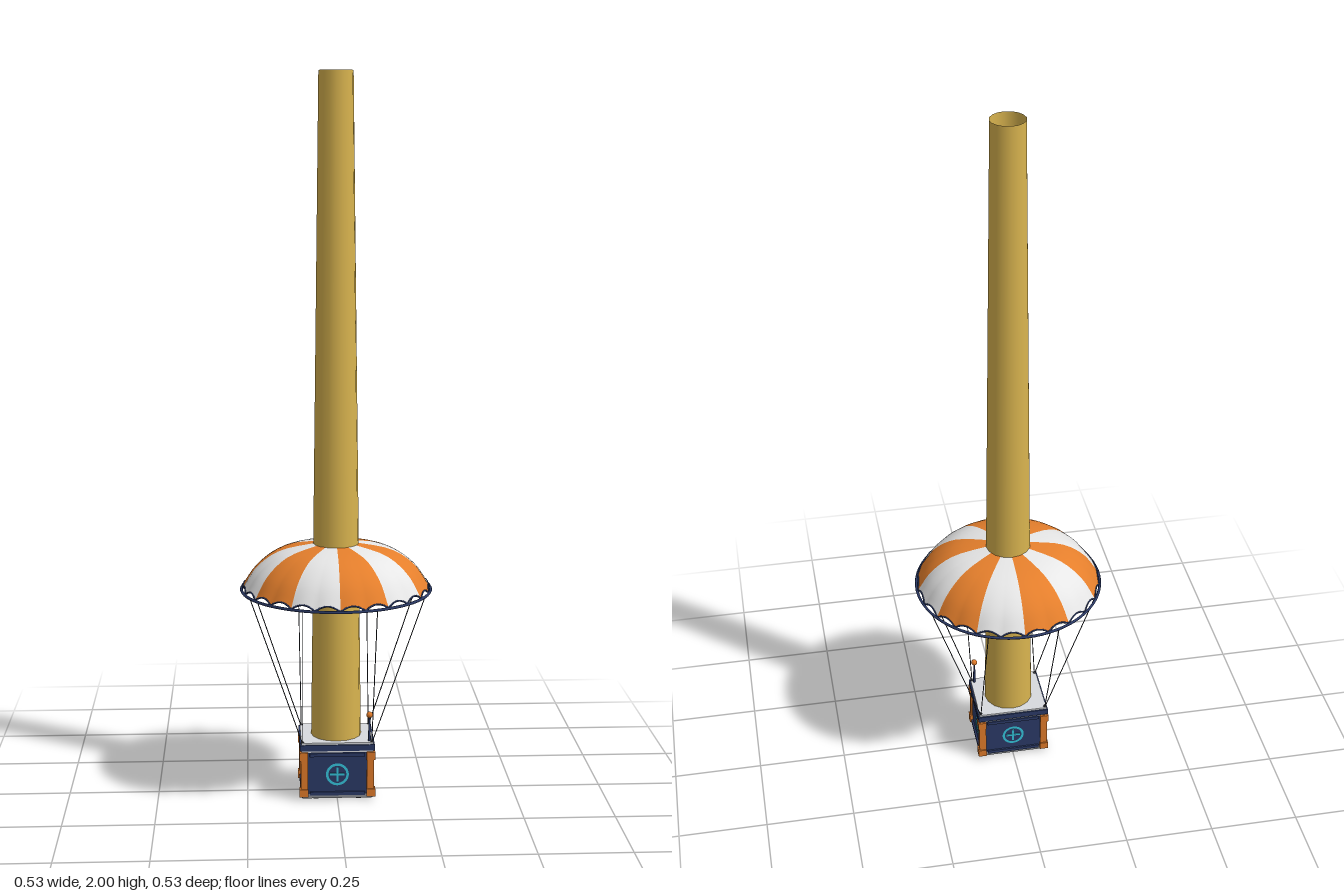
import * as THREE from 'three';

const mat = (name, color, side = THREE.FrontSide) => {
  const m = new THREE.MeshStandardMaterial({ color, side });
  m.name = name;
  return m;
};

// Canopy surface: t runs from apex (0) to rim (1), with scalloped hem and soft pleats
const profile = new THREE.CatmullRomCurve3([
  [0.001, 0.722], [0.063, 0.714], [0.16, 0.692], [0.222, 0.648], [0.264, 0.588],
].map(([r, y]) => new THREE.Vector3(r, y, 0)));
const canopyPoint = (t, a) => {
  const lobe = Math.abs(Math.sin(12 * a));
  const p = profile.getPoint(t * (1 - 0.05 * lobe));
  const r = p.x - 0.004 * (1 - lobe) * t ** 4;
  return new THREE.Vector3(r * Math.cos(a), p.y, r * Math.sin(a));
};

export function createModel() {
  const gold = mat('gold', 0xd9b44f, THREE.DoubleSide);
  const orange = mat('orange', 0xe07b2a);
  const orangeCloth = mat('orange cloth', 0xe57f2c, THREE.DoubleSide);
  const whiteCloth = mat('white cloth', 0xe6e6e6, THREE.DoubleSide);
  const white = mat('pale grey', 0xd8dade);
  const navy = mat('navy', 0x2b3a67);
  const grey = mat('grey', 0x8a8d92);
  const dark = mat('dark cord', 0x3a3d44);
  const cyan = mat('cyan', 0x35c4dc);

  const model = new THREE.Group();
  const add = (parent, name, geo, material, x = 0, y = 0, z = 0) => {
    const m = new THREE.Mesh(geo, material);
    m.name = name;
    m.position.set(x, y, z);
    parent.add(m);
    return m;
  };
  const box = (parent, name, material, w, h, d, x, y, z) =>
    add(parent, name, new THREE.BoxGeometry(w, h, d), material, x, y, z);
  const rod = (parent, name, material, a, b, r) => {
    const g = new THREE.CylinderGeometry(r, r, a.distanceTo(b), 6);
    const m = add(parent, name, g, material);
    m.position.copy(a).lerp(b, 0.5);
    m.quaternion.setFromUnitVectors(new THREE.Vector3(0, 1, 0), b.clone().sub(a).normalize());
  };

  // Tall open tapering column
  add(model, 'column', new THREE.CylinderGeometry(0.047, 0.07, 1.835, 16, 1, true), gold, 0, 1.0825, 0);

  // Canopy of twelve alternating gores
  const canopy = new THREE.Group();
  canopy.name = 'canopy';
  model.add(canopy);
  for (let g = 0; g < 12; g++) {
    const geo = new THREE.PlaneGeometry(1, 1, 16, 14);
    const pos = geo.attributes.position;
    for (let i = 0; i < pos.count; i++) {
      const a = (g + 0.5 - pos.getX(i)) * Math.PI / 6;
      const p = canopyPoint(0.5 - pos.getY(i), a);
      pos.setXYZ(i, p.x, p.y, p.z);
    }
    geo.computeVertexNormals();
    add(canopy, 'gore', geo, g % 2 ? whiteCloth : orangeCloth);
  }
  const hem = [];
  for (let i = 0; i < 144; i++) hem.push(canopyPoint(1, i * Math.PI / 72));
  add(canopy, 'scallopedTrim',
    new THREE.TubeGeometry(new THREE.CatmullRomCurve3(hem, true), 288, 0.0025, 5, true), navy);
  add(canopy, 'rimRing', new THREE.TorusGeometry(0.263, 0.004, 6, 72), navy, 0, 0.586, 0)
    .rotation.x = Math.PI / 2;
  add(canopy, 'apexCap', new THREE.CylinderGeometry(0.028, 0.028, 0.008, 24), navy, 0, 0.724, 0);

  // Eight cords, two to each crate corner
  for (let i = 0; i < 8; i++) {
    const a = (i + 0.5) * Math.PI / 4;
    const c = Math.cos(a), s = Math.sin(a);
    rod(model, 'cord', dark, new THREE.Vector3(0.26 * c, 0.586, 0.26 * s),
      new THREE.Vector3(0.096 * Math.sign(c), 0.16, 0.078 * Math.sign(s)), 0.0014);
  }

  // Crate body, base and lid
  const crate = new THREE.Group();
  crate.name = 'crate';
  model.add(crate);
  box(crate, 'base', grey, 0.196, 0.012, 0.166, 0, 0.01, 0);
  box(crate, 'body', navy, 0.194, 0.124, 0.164, 0, 0.076, 0);
  box(crate, 'lidSeam', white, 0.2, 0.005, 0.17, 0, 0.14, 0);
  box(crate, 'lid', navy, 0.208, 0.017, 0.178, 0, 0.151, 0);
  box(crate, 'lidTop', white, 0.2, 0.006, 0.17, 0, 0.162, 0);
  for (const x of [-0.06, 0.06]) box(crate, 'skid', dark, 0.014, 0.006, 0.15, x, 0.003, 0);

  // Corner posts with thicker end brackets
  for (const x of [-1, 1]) for (const z of [-1, 1]) {
    box(crate, 'cornerPost', orange, 0.02, 0.128, 0.02, 0.092 * x, 0.074, 0.077 * z);
    for (const y of [0.02, 0.126])
      box(crate, 'cornerBracket', orange, 0.024, 0.022, 0.024, 0.0935 * x, y, 0.0785 * z);
    add(crate, 'cordAnchor', new THREE.SphereGeometry(0.005, 8, 6), dark, 0.096 * x, 0.163, 0.078 * z);
  }

  // Frame strips and ring-and-cross marker on each side
  const sides = [[0, 0.082, 0.194, 0, 0.032], [1, 0.097, 0.164, 0.02, 0.027],
    [2, 0.082, 0.194, 0, 0.032], [3, 0.097, 0.164, 0.02, 0.027]];
  for (const [turn, depth, width, shift, r] of sides) {
    const side = new THREE.Group();
    side.name = 'crateSide';
    side.rotation.y = turn * Math.PI / 2;
    crate.add(side);
    for (const y of [0.018, 0.13])
      box(side, 'frameStrip', navy, width - 0.04, 0.01, 0.006, 0, y, depth + 0.002);
    add(side, 'markerRing', new THREE.RingGeometry(r - 0.007, r, 32), cyan, shift, 0.073, depth + 0.002);
    box(side, 'markerBar', cyan, r * 1.25, 0.006, 0.003, shift, 0.073, depth + 0.001);
    box(side, 'markerBar', cyan, 0.006, r * 1.25, 0.003, shift, 0.073, depth + 0.0012);
  }

  // Antenna with orange tip
  add(crate, 'antenna', new THREE.CylinderGeometry(0.0025, 0.004, 0.075, 8), navy, 0.09, 0.2, 0.07);
  add(crate, 'antennaTip', new THREE.SphereGeometry(0.009, 12, 8), orange, 0.09, 0.24, 0.07);

  return model;
}
